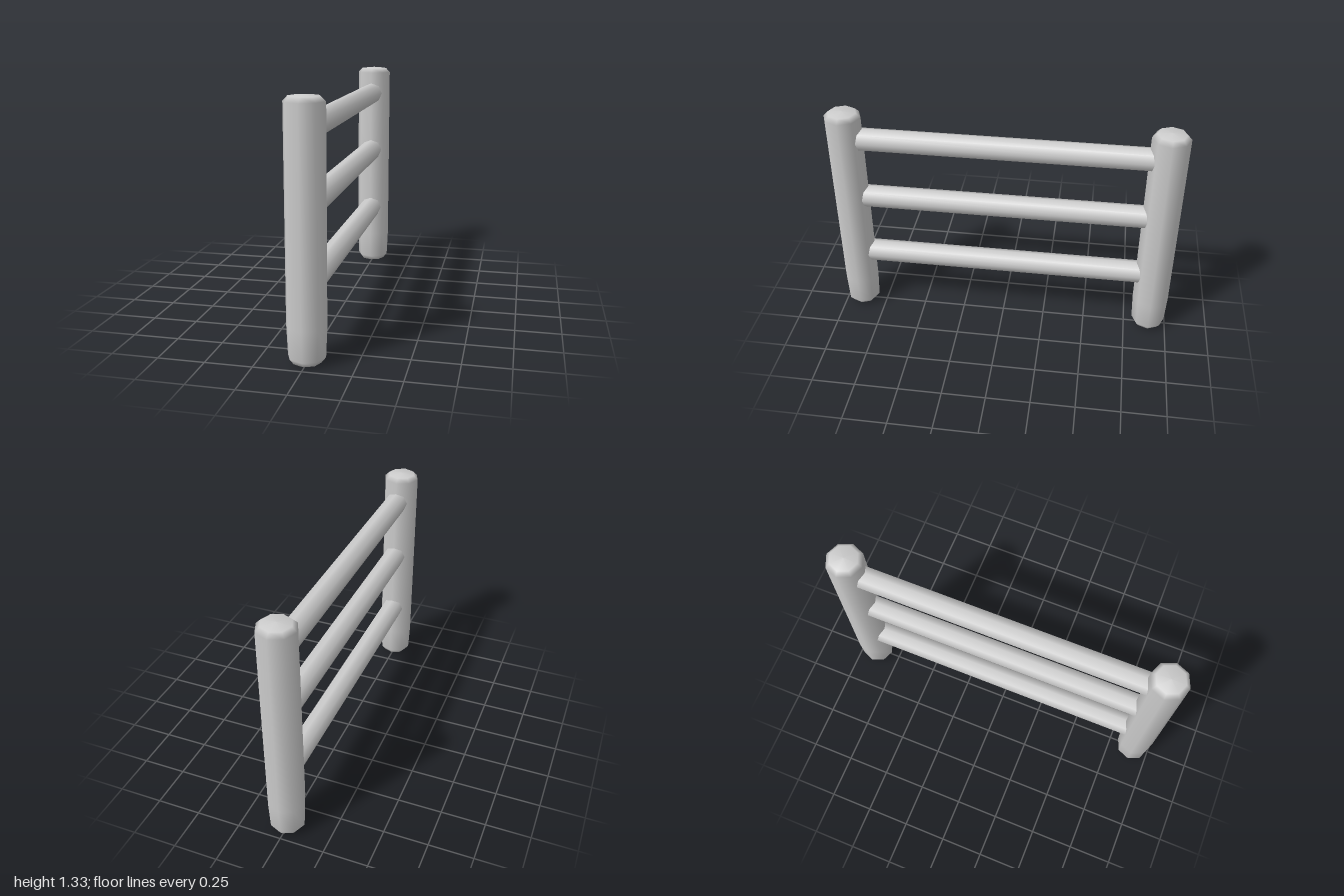
import * as THREE from 'three';

export function createModel() {
  const group = new THREE.Group();
  group.name = 'railFence';
  const grey = new THREE.MeshStandardMaterial({ color: 0xcccccc });
  grey.name = 'plain grey';

  // Octagonal posts with bevelled ends and a slight taper at the foot
  const profile = [
    [0, 0], [0.075, 0.01], [0.098, 0.04], [0.105, 0.2],
    [0.105, 1.3], [0.08, 1.325], [0, 1.333],
  ].map(([r, y]) => new THREE.Vector2(r, y));
  const postGeometry = new THREE.LatheGeometry(profile, 8);
  for (const [name, z] of [['frontPost', 0.895], ['backPost', -0.895]]) {
    const post = new THREE.Mesh(postGeometry, grey);
    post.name = name;
    post.position.z = z;
    group.add(post);
  }

  // Three octagonal rails let into the posts
  const railGeometry = new THREE.CylinderGeometry(0.066, 0.066, 1.7, 8);
  railGeometry.rotateX(Math.PI / 2);
  [['lowerRail', 0.39], ['middleRail', 0.787], ['upperRail', 1.165]].forEach(([name, y]) => {
    const rail = new THREE.Mesh(railGeometry, grey);
    rail.name = name;
    rail.position.y = y;
    group.add(rail);
  });

  return group;
}
